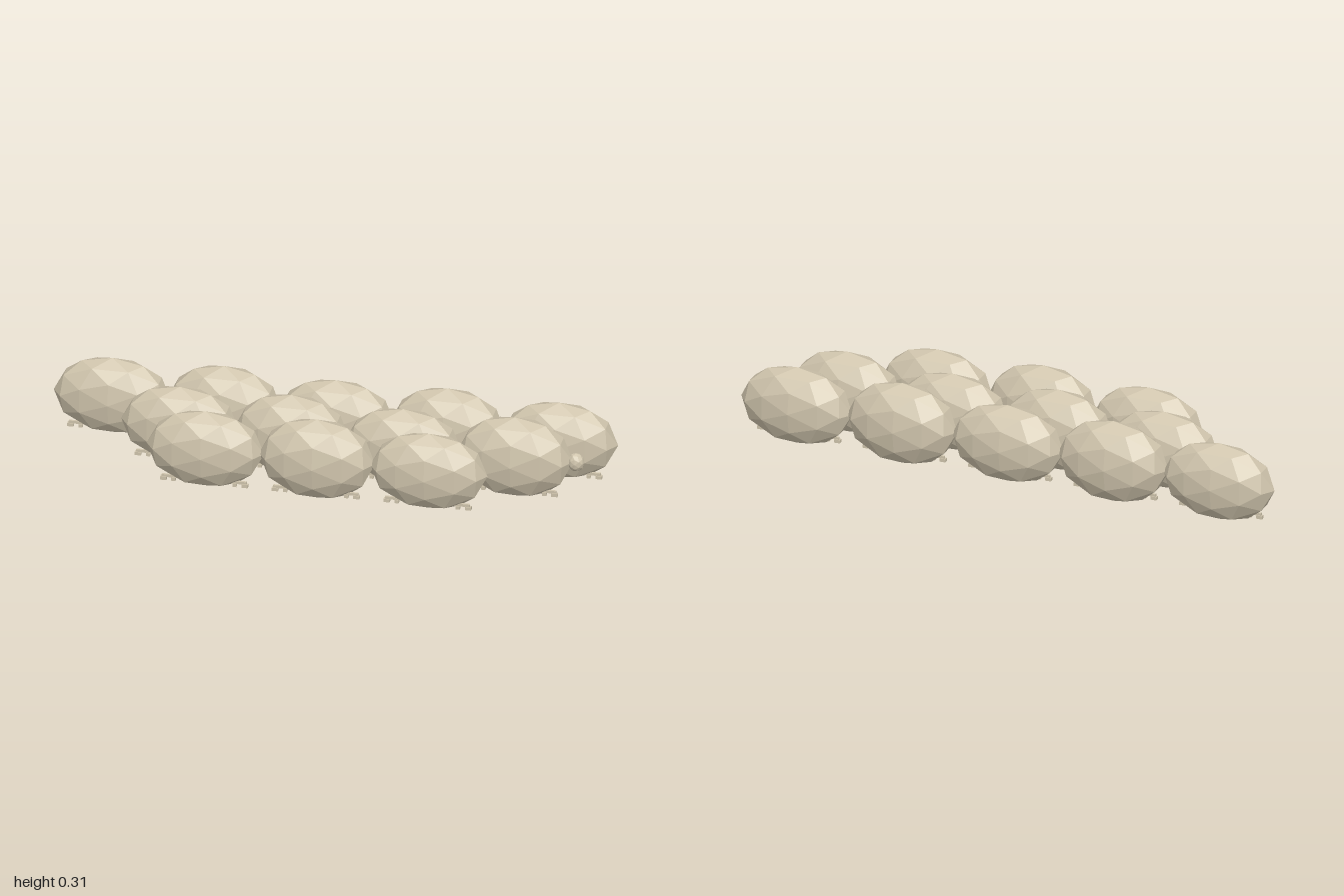
import * as THREE from 'three';

export function createModel() {
  const model = new THREE.Group();
  const wool = new THREE.MeshStandardMaterial({ color: 0xcfc4ac, flatShading: true });
  wool.name = 'wool';

  const faceted = new THREE.IcosahedronGeometry(1, 1);
  const cube = new THREE.BoxGeometry(1, 1, 1);

  function add(parent, name, geometry, size, position) {
    const mesh = new THREE.Mesh(geometry, wool);
    mesh.name = name;
    mesh.scale.set(...size);
    mesh.position.set(...position);
    parent.add(mesh);
  }

  // One faceted body with a small stepped foot under each end
  function addAnimal(x, z, large) {
    const animal = new THREE.Group();
    animal.name = 'animal';
    animal.position.set(x, 0, z);
    if (large) add(animal, 'body', faceted, [0.205, 0.153, 0.093], [0, 0.154, 0]);
    else add(animal, 'body', faceted, [0.208, 0.145, 0.088], [0, 0.15, 0]);
    for (const side of [-1, 1]) {
      add(animal, 'shank', cube, [0.06, 0.01, 0.008], [side * 0.12, 0.04, 0.02]);
      add(animal, 'foot', cube, [0.022, 0.012, 0.014], [side * 0.144, 0.03, 0.02]);
      add(animal, 'toe', cube, [0.014, 0.012, 0.014], [side * 0.108, 0.03, 0.02]);
    }
    model.add(animal);
  }

  // Three staggered rows, sizes alternating along each row
  const spacing = 0.395;
  const rows = [
    { z: -0.158, start: -0.79, count: 5 },
    { z: 0, start: -0.518, count: 4 },
    { z: 0.158, start: -0.395, count: 3 },
  ];
  for (const { z, start, count } of rows) {
    for (let i = 0; i < count; i++) addAnimal(start + i * spacing, z, i % 2 === 1);
  }

  // Small head at the end of the middle row
  add(model, 'head', faceted, [0.03, 0.035, 0.025], [0.882, 0.155, 0]);

  return model;
}
